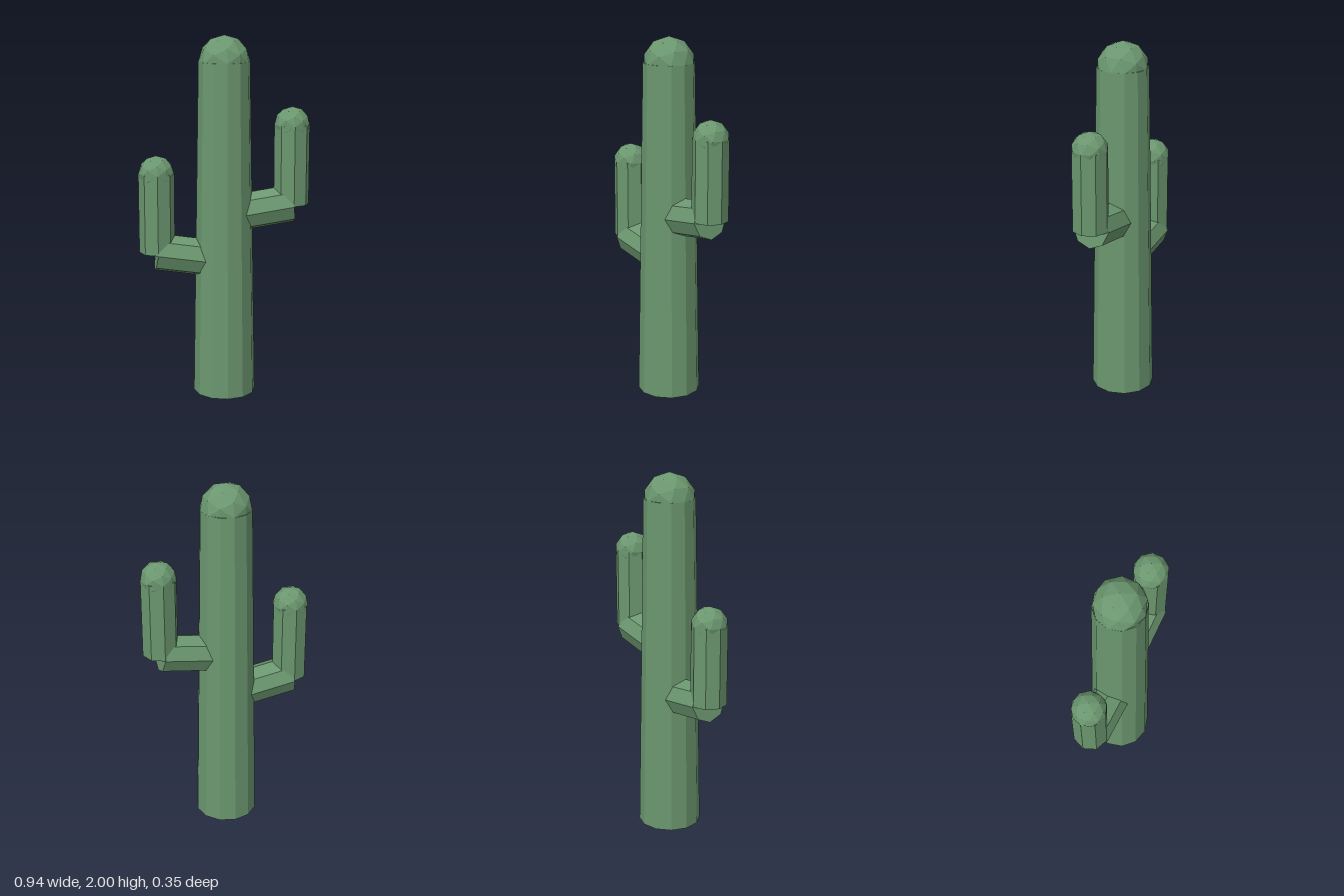
import * as THREE from 'three';

export function createModel() {
  const group = new THREE.Group();
  group.name = 'cactus';
  const green = new THREE.MeshStandardMaterial({ color: 0x6b976f, flatShading: true });
  green.name = 'cactus green';

  const add = (parent, name, geometry, x, y, tilt = 0) => {
    const mesh = new THREE.Mesh(geometry, green);
    mesh.name = name;
    mesh.position.set(x, y, 0);
    mesh.rotation.z = tilt;
    parent.add(mesh);
  };

  // Tapered trunk with a faceted rounded top
  add(group, 'trunk', new THREE.CylinderGeometry(0.14, 0.173, 1.86, 12), 0, 0.93);
  add(group, 'trunkTop', new THREE.IcosahedronGeometry(0.14, 1), 0, 1.86);

  // One arm: a slightly rising branch, an upright and its rounded tip
  const addArm = (name, side, elbowY) => {
    const arm = new THREE.Group();
    arm.name = name;
    const elbowX = 0.372, rise = 0.15, length = 0.33, height = 0.44;
    add(arm, 'branch', new THREE.CylinderGeometry(0.104, 0.104, length, 8),
      side * (elbowX - Math.cos(rise) * length / 2),
      elbowY - Math.sin(rise) * length / 2,
      side * (rise - Math.PI / 2));
    add(arm, 'upright', new THREE.CylinderGeometry(0.098, 0.098, height, 8),
      side * elbowX, elbowY + height / 2);
    add(arm, 'armTip', new THREE.IcosahedronGeometry(0.098, 1), side * elbowX, elbowY + height);
    group.add(arm);
  };
  addArm('leftArm', 1, 1.072);
  addArm('rightArm', -1, 0.817);

  return group;
}
